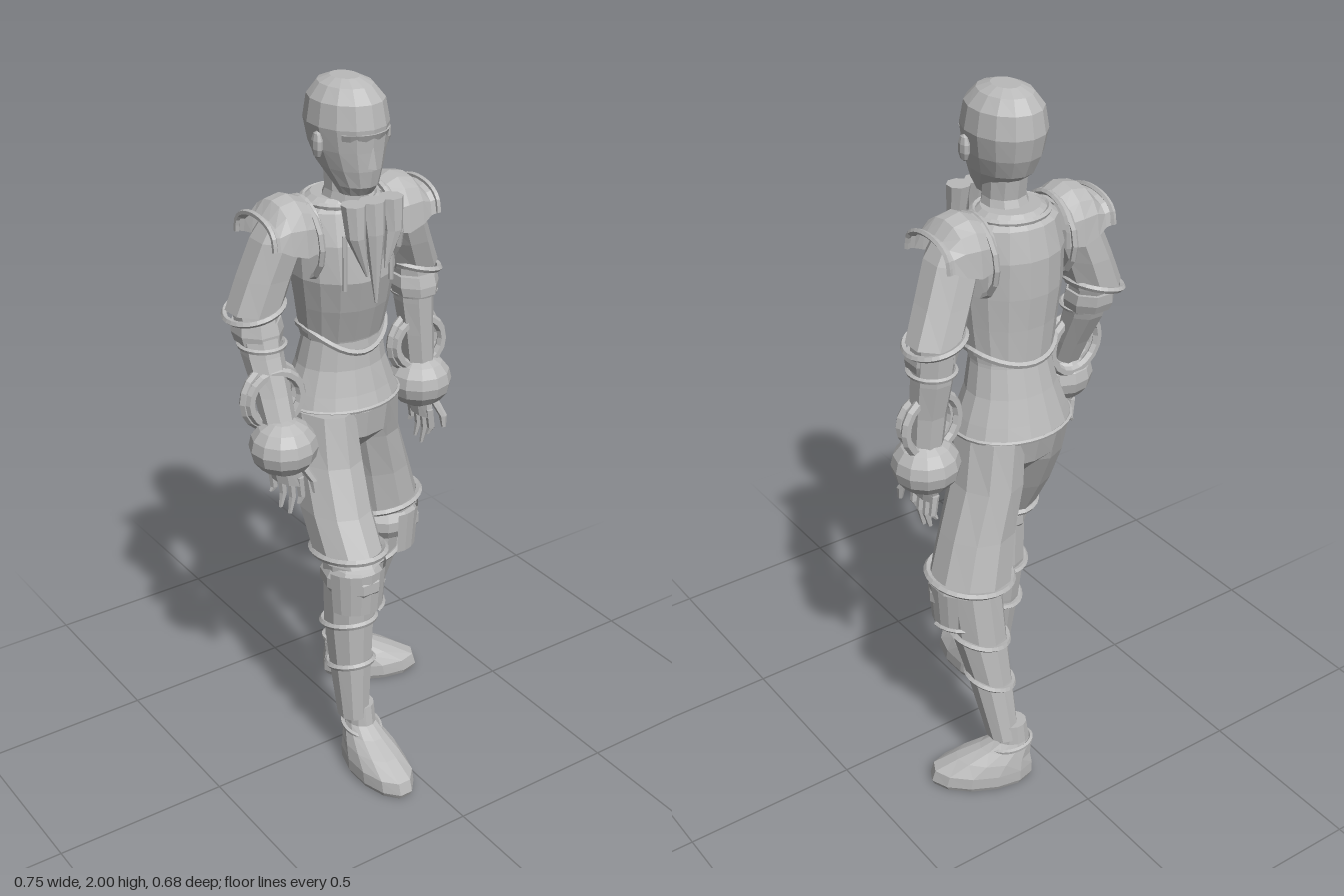
import * as THREE from 'three';

const grey = new THREE.MeshStandardMaterial({ color: 0xbababa, flatShading: true, side: THREE.DoubleSide });
grey.name = 'plain grey';

function add(parent, name, geometry) {
  const mesh = new THREE.Mesh(geometry, grey);
  mesh.name = name;
  parent.add(mesh);
  return mesh;
}

// Skin through rows of points; wrap closes each row into a ring
function skin(rows, wrap, cap) {
  const n = rows[0].length, pos = rows.flat(2), idx = [];
  for (let i = 0; i < rows.length - 1; i++) {
    for (let j = 0; j < (wrap ? n : n - 1); j++) {
      const a = i * n + j, b = i * n + (j + 1) % n;
      idx.push(a, b, a + n, b, b + n, a + n);
    }
  }
  if (cap) {
    const last = (rows.length - 1) * n;
    for (let j = 1; j < n - 1; j++) idx.push(0, j + 1, j, last, last + j, last + j + 1);
  }
  const g = new THREE.BufferGeometry();
  g.setAttribute('position', new THREE.Float32BufferAttribute(pos, 3));
  g.setIndex(idx);
  g.computeVertexNormals();
  return g;
}

// Stack of level ellipses, top to bottom: [x, y, z, radiusX, radiusZ]
function loft(rows, n = 10, cap = true) {
  return skin(rows.map(([x, y, z, rx, rz]) => Array.from({ length: n }, (_, j) => {
    const a = ((j + 0.5) / n) * Math.PI * 2;
    return [x + rx * Math.cos(a), y, z + rz * Math.sin(a)];
  })), true, cap);
}

// Raised elliptical trim; dip lowers it towards the direction given by yaw
function hoop(x, y, z, rx, rz, thick = 0.008, dip = 0, yaw = 0) {
  const pts = Array.from({ length: 14 }, (_, j) => {
    const a = (j / 14) * Math.PI * 2;
    return new THREE.Vector3(x + rx * Math.sin(a), y - dip * Math.cos(a - yaw), z + rz * Math.cos(a));
  });
  return new THREE.TubeGeometry(new THREE.CatmullRomCurve3(pts, true), 28, thick, 5, true);
}

function buildHead(g) {
  const cx = -0.02;
  add(g, 'head', loft([
    [cx, 2.0, -0.05, 0.035, 0.045], [cx, 1.985, -0.048, 0.066, 0.085], [cx, 1.95, -0.045, 0.094, 0.115],
    [cx, 1.89, -0.044, 0.104, 0.126], [cx, 1.83, -0.04, 0.094, 0.117], [cx, 1.78, -0.03, 0.078, 0.104],
    [cx, 1.735, -0.005, 0.058, 0.07], [cx, 1.71, 0.0, 0.046, 0.045]], 14));
  add(g, 'neck', loft([[cx, 1.78, -0.05, 0.058, 0.065], [cx, 1.71, -0.045, 0.058, 0.06], [cx, 1.64, -0.06, 0.075, 0.075]], 10));
  // Brow ridge, nose and ears
  const brow = new THREE.CylinderGeometry(0.104, 0.096, 0.022, 8, 1, false, -0.8, 1.6);
  add(g, 'brow', brow.scale(1, 1, 1.22)).position.set(cx, 1.868, -0.042);
  add(g, 'nose', new THREE.ConeGeometry(0.016, 0.06, 4)).position.set(cx, 1.82, 0.077);
  for (const s of [-1, 1]) {
    add(g, 'ear', new THREE.SphereGeometry(1, 8, 5).scale(0.012, 0.036, 0.022)).position.set(cx + s * 0.104, 1.845, -0.02);
  }
}

function buildTorso(g) {
  add(g, 'jacket', loft([
    [-0.01, 1.38, -0.08, 0.118, 0.1], [0, 1.28, -0.1, 0.114, 0.095], [0, 1.2, -0.108, 0.13, 0.11],
    [0, 1.13, -0.11, 0.157, 0.13], [0, 1.085, -0.11, 0.172, 0.145]], 16, false));
  add(g, 'jacketHem', hoop(0, 1.09, -0.11, 0.17, 0.142, 0.006));
  add(g, 'breastplate', loft([
    [-0.02, 1.69, -0.075, 0.08, 0.075], [-0.02, 1.66, -0.08, 0.125, 0.105], [-0.02, 1.58, -0.075, 0.143, 0.13],
    [-0.018, 1.48, -0.07, 0.143, 0.137], [-0.012, 1.39, -0.08, 0.132, 0.122], [-0.005, 1.29, -0.097, 0.12, 0.103]], 16));
  // Lower breastplate trim dips front and back
  const trim = Array.from({ length: 16 }, (_, j) => {
    const a = (j / 16) * Math.PI * 2, c = Math.cos(a);
    return new THREE.Vector3(-0.005 + 0.123 * Math.sin(a), 1.32 - c * c * (c > 0 ? 0.065 : 0.03), -0.095 + 0.108 * c);
  });
  add(g, 'breastplateTrim', new THREE.TubeGeometry(new THREE.CatmullRomCurve3(trim, true), 32, 0.009, 5, true));
  add(g, 'collarTrim', hoop(-0.02, 1.675, -0.075, 0.1, 0.092, 0.009));
  for (const s of [-1, 1]) {
    const hole = add(g, 'armholeTrim', new THREE.TorusGeometry(0.108, 0.009, 5, 16));
    hole.rotation.y = Math.PI / 2;
    hole.position.set(-0.02 + s * 0.122, 1.58, -0.08);
  }
  // Hanging scarf folds
  for (const [x, r, tip] of [[-0.077, 0.033, 1.51], [-0.02, 0.036, 1.43], [0.038, 0.033, 1.52]]) {
    add(g, 'scarfFold', loft([[x, 1.705, 0.072, r, 0.034], [x, 1.62, 0.083, r * 0.8, 0.026],
      [(x - 0.02) / 2, tip, 0.092, 0.004, 0.004]], 8));
  }
  for (const x of [-0.09, 0.055]) {
    add(g, 'scarfCord', new THREE.CylinderGeometry(0.007, 0.007, 0.15, 5)).position.set(x, 1.54, 0.052);
  }
}

// Arched shoulder plate with a flared outer rim
function buildShoulder(g, s) {
  const arch = ([d, top, bottom, half]) => Array.from({ length: 9 }, (_, j) => {
    const a = (j / 8) * Math.PI * s;
    return [-0.02 + s * d, bottom + (top - bottom) * Math.pow(Math.abs(Math.sin(a)), 0.7), -0.08 + half * Math.cos(a)];
  });
  const rows = [[0.115, 1.69, 1.57, 0.092], [0.16, 1.71, 1.565, 0.102], [0.205, 1.7, 1.58, 0.1],
    [0.235, 1.665, 1.595, 0.092], [0.255, 1.672, 1.6, 0.095]];
  add(g, 'shoulderPlate', skin(rows.map(arch), false, false));
  for (const r of [rows[0], rows[4]]) {
    const line = new THREE.CatmullRomCurve3(arch(r).map(p => new THREE.Vector3(...p)));
    add(g, 'shoulderRim', new THREE.TubeGeometry(line, 16, 0.008, 5));
  }
}

function buildArm(g, p) {
  add(g, 'upperArm', loft(p.upper, 8));
  add(g, 'forearm', loft(p.fore, 8));
  const [ex, ey, ez] = p.upper[3], [fx, fy, fz] = p.fore[1];
  add(g, 'sleeveTrim', hoop(ex, ey, ez, 0.077, 0.082, 0.009, 0.02, p.side));
  add(g, 'armBand', loft([[ex, 1.385, ez + 0.01, 0.066, 0.07], [ex, 1.355, ez + 0.015, 0.07, 0.073],
    [ex, 1.33, ez + 0.02, 0.064, 0.067]], 8));
  add(g, 'forearmTrim', hoop(fx, fy + 0.025, fz, 0.06, 0.064, 0.007));
  // Bangles
  const [rx, ry, rz] = p.ring;
  [[0.085, -0.014, 0.08], [0.074, 0.014, -0.1]].forEach(([r, dz, tilt]) => {
    const ring = add(g, 'bangle', new THREE.TorusGeometry(r, 0.014, 6, 18));
    ring.position.set(rx, ry, rz + dz);
    ring.rotation.y = tilt;
  });
  // Round cuff with the hand below it
  const hand = new THREE.Group();
  hand.name = 'hand';
  hand.position.set(...p.ball);
  hand.rotation.y = p.yaw;
  g.add(hand);
  add(hand, 'cuff', new THREE.SphereGeometry(1, 12, 8).scale(0.093, 0.08, 0.093));
  add(hand, 'palm', loft([[0, -0.05, 0, 0.025, 0.055], [0, -0.105, 0.01, 0.02, 0.048]], 8));
  [0.16, 0.2, 0.19, 0.15].forEach((len, i) => {
    const z = 0.05 - i * 0.03;
    add(hand, 'finger', loft([[0, -0.08, z, 0.012, 0.012], [0.008, -0.1 - len * 0.25, z, 0.011, 0.011],
      [0, -len, z - 0.004, 0.006, 0.006]], 6));
  });
  add(hand, 'thumb', loft([[0.02, -0.06, 0.05, 0.014, 0.014], [0.035, -0.1, 0.07, 0.012, 0.012],
    [0.035, -0.135, 0.075, 0.007, 0.007]], 6));
}

function buildLeg(g, p) {
  add(g, 'trouserLeg', loft(p.thigh, 10));
  const [hx, hy, hz, hrx, hrz] = p.thigh[p.thigh.length - 1];
  add(g, 'trouserCuff', hoop(hx, hy + 0.012, hz, hrx, hrz, 0.01, 0.015, p.yaw + Math.PI));
  add(g, 'greave', loft(p.shin, 10));
  // Greave bands rise at the front
  for (const i of [1, 2]) {
    const [x, y, z, rx, rz] = p.shin[i];
    add(g, 'greaveBand', hoop(x, y, z, rx + 0.003, rz + 0.003, 0.009, -0.018, p.yaw));
  }
  // Knee guard: dome over a curved plate
  const knee = new THREE.Group();
  knee.name = 'kneeGuard';
  knee.position.set(...p.knee);
  knee.rotation.y = p.yaw;
  g.add(knee);
  add(knee, 'kneeDome', new THREE.SphereGeometry(1, 10, 7).scale(0.084, 0.068, 0.105));
  const plate = new THREE.CylinderGeometry(0.092, 0.082, 0.13, 8, 1, true, -1.35, 2.7);
  add(knee, 'kneePlate', plate).position.set(0, -0.02, 0.008);
  const rim = new THREE.TorusGeometry(0.083, 0.007, 5, 10, 2.7).rotateX(Math.PI / 2).rotateY(-Math.PI / 2 + 1.35 - Math.PI / 2 + 0.22 + Math.PI);
  add(knee, 'kneeRim', rim).position.set(0, -0.085, 0.008);
  // Shoe
  const shoe = new THREE.Group();
  shoe.name = 'shoe';
  shoe.position.set(...p.foot);
  shoe.rotation.y = p.yaw;
  g.add(shoe);
  add(shoe, 'shoeBody', loft([[0, 0.2, 0.012, 0.038, 0.042], [0, 0.14, 0.012, 0.042, 0.05], [0, 0.115, 0.03, 0.052, 0.075],
    [0, 0.085, 0.065, 0.066, 0.108], [0, 0.05, 0.095, 0.075, 0.145], [0, 0.015, 0.1, 0.075, 0.15], [0, 0, 0.1, 0.068, 0.142]], 12));
  add(shoe, 'shoeCollar', hoop(0, 0.125, 0.018, 0.05, 0.062, 0.007, 0.01));
}

export function createModel() {
  const g = new THREE.Group();
  g.name = 'armouredFigure';
  buildHead(g);
  buildTorso(g);
  buildShoulder(g, -1);
  buildShoulder(g, 1);
  buildArm(g, {
    side: -1.5, yaw: 0.4, ring: [-0.275, 1.185, -0.015], ball: [-0.28, 1.065, 0.04],
    upper: [[-0.18, 1.67, -0.08, 0.05, 0.06], [-0.205, 1.6, -0.085, 0.072, 0.083], [-0.243, 1.5, -0.095, 0.074, 0.082], [-0.275, 1.41, -0.1, 0.076, 0.08]],
    fore: [[-0.275, 1.43, -0.1, 0.06, 0.065], [-0.278, 1.3, -0.06, 0.056, 0.06], [-0.277, 1.2, -0.015, 0.05, 0.05], [-0.28, 1.1, 0.03, 0.045, 0.045]]
  });
  buildArm(g, {
    side: 1.5, yaw: 0, ring: [0.268, 1.168, -0.12], ball: [0.28, 1.045, -0.12],
    upper: [[0.14, 1.67, -0.08, 0.05, 0.06], [0.168, 1.6, -0.088, 0.072, 0.083], [0.212, 1.5, -0.11, 0.074, 0.08], [0.255, 1.41, -0.133, 0.076, 0.075]],
    fore: [[0.255, 1.43, -0.133, 0.06, 0.065], [0.263, 1.3, -0.13, 0.056, 0.06], [0.27, 1.2, -0.122, 0.05, 0.05], [0.28, 1.08, -0.12, 0.045, 0.045]]
  });
  add(g, 'hips', loft([[0, 1.16, -0.11, 0.13, 0.11], [0, 1.08, -0.105, 0.162, 0.135],
    [0, 1.0, -0.1, 0.15, 0.12], [0.005, 0.955, -0.1, 0.06, 0.08]], 14));
  buildLeg(g, {
    yaw: 0, knee: [-0.105, 0.635, 0.1], foot: [-0.085, 0, 0.1],
    thigh: [[-0.085, 1.09, -0.09, 0.085, 0.13], [-0.09, 0.95, -0.05, 0.095, 0.122], [-0.1, 0.82, 0.01, 0.095, 0.118], [-0.103, 0.7, 0.08, 0.093, 0.12]],
    shin: [[-0.105, 0.72, 0.085, 0.074, 0.08], [-0.103, 0.48, 0.08, 0.07, 0.077], [-0.103, 0.34, 0.088, 0.06, 0.066], [-0.104, 0.165, 0.103, 0.045, 0.05]]
  });
  buildLeg(g, {
    yaw: 1.1, knee: [0.18, 0.61, -0.145], foot: [0.103, 0, -0.288],
    thigh: [[0.08, 1.09, -0.115, 0.085, 0.125], [0.1, 0.95, -0.14, 0.095, 0.112], [0.14, 0.81, -0.153, 0.105, 0.108], [0.175, 0.665, -0.167, 0.118, 0.115]],
    shin: [[0.173, 0.7, -0.168, 0.08, 0.08], [0.16, 0.48, -0.19, 0.076, 0.08], [0.147, 0.34, -0.222, 0.061, 0.066], [0.135, 0.155, -0.268, 0.045, 0.05]]
  });
  return g;
}
